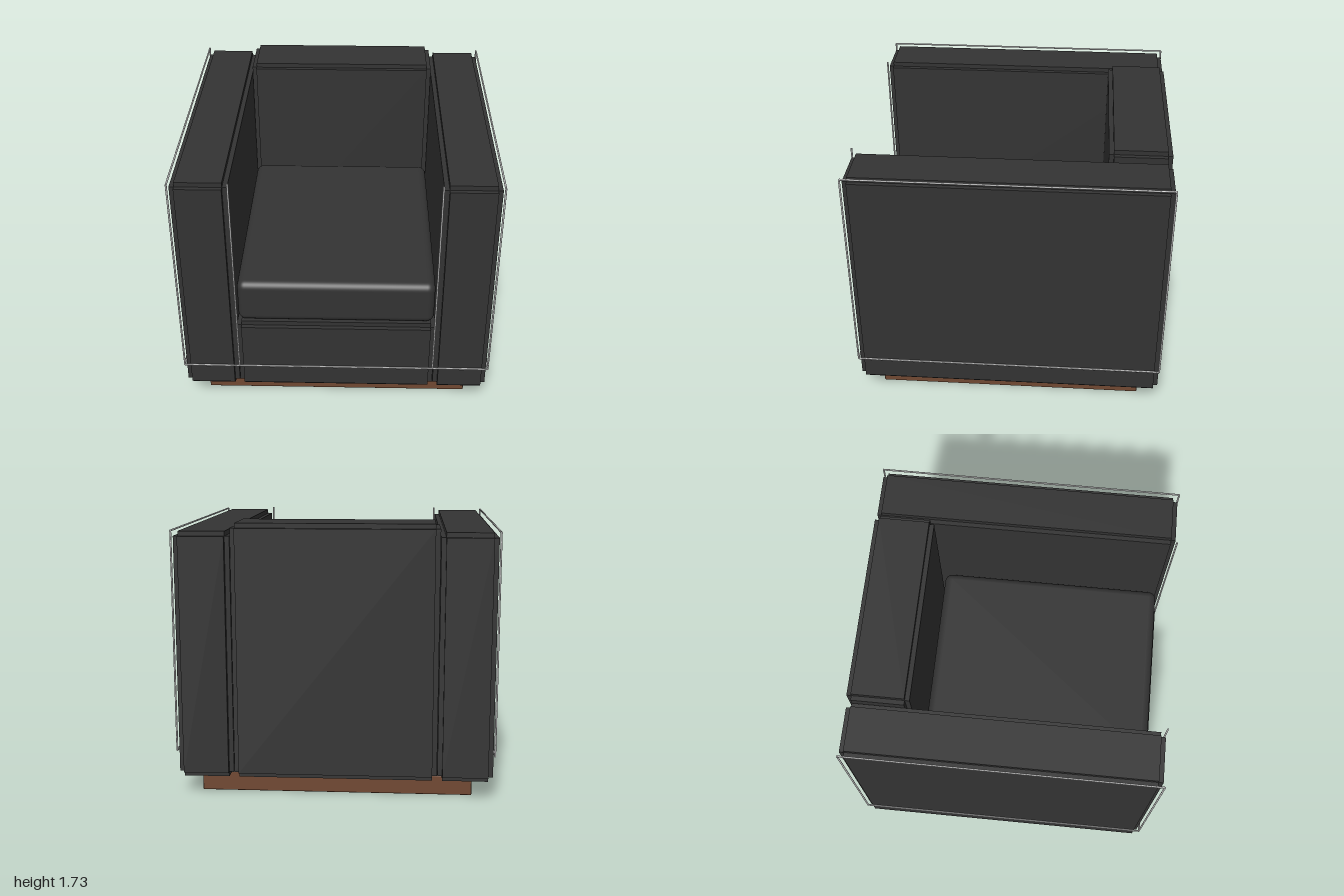
import * as THREE from 'three';
import { RoundedBoxGeometry } from 'three/addons/geometries/RoundedBoxGeometry.js';

const fabric = new THREE.MeshStandardMaterial({ color: 0x333333 });
const wood = new THREE.MeshStandardMaterial({ color: 0x704832 });
const trim = new THREE.MeshStandardMaterial({ color: 0xcccccc });

function addMesh(parent, name, geometry, material) {
  const mesh = new THREE.Mesh(geometry, material);
  mesh.name = name;
  parent.add(mesh);
  return mesh;
}

// Geometry filling the space between two corners, optionally with rounded edges
function boxBetween(min, max, radius = 0) {
  const s = max.map((v, i) => v - min[i]);
  const geometry = radius ? new RoundedBoxGeometry(...s, 5, radius) : new THREE.BoxGeometry(...s);
  return geometry.translate(...max.map((v, i) => (v + min[i]) / 2));
}

// Upholstered block with stepped edges: three slabs, each full-length along one axis
function steppedBlock(name, min, max, step = 0.03) {
  const group = new THREE.Group();
  group.name = name;
  for (let axis = 0; axis < 3; axis++) {
    const lo = min.map((v, i) => (i === axis ? v : v + step));
    const hi = max.map((v, i) => (i === axis ? v : v - step));
    addMesh(group, name + 'Slab', boxBetween(lo, hi), fabric);
  }
  return group;
}

// Thin straight trim rod between two points
function addRod(parent, name, a, b) {
  const start = new THREE.Vector3(...a), end = new THREE.Vector3(...b);
  const direction = end.clone().sub(start);
  const rod = addMesh(parent, name, new THREE.CylinderGeometry(0.006, 0.006, direction.length(), 8), trim);
  rod.position.copy(start).add(end).multiplyScalar(0.5);
  rod.quaternion.setFromUnitVectors(new THREE.Vector3(0, 1, 0), direction.normalize());
}

export function createModel() {
  const chair = new THREE.Group();
  chair.name = 'armchair';

  // Wooden plinth
  addMesh(chair, 'plinth', boxBetween([-0.86, 0, -0.865], [0.86, 0.126, 0.855], 0.006), wood);

  // Seat base, backrest and loose cushion
  chair.add(steppedBlock('seatBase', [-0.637, 0.125, -0.605], [0.637, 0.645, 0.98]));
  chair.add(steppedBlock('backrest', [-0.637, 0.125, -0.99], [0.637, 1.725, -0.6]));
  addMesh(chair, 'seatCushion', boxBetween([-0.627, 0.64, -0.575], [0.627, 0.937, 0.947], 0.05), fabric);

  // Arms with their trim
  const bottom = 0.3, top = 1.68, front = 0.985, back = -0.99;
  for (const [side, s] of [['left', 1], ['right', -1]]) {
    const arm = steppedBlock(side + 'Arm', [0.64, 0.125, -0.99], [0.985, 1.675, 0.98]);
    // Shift the mirrored arm across: the block is symmetric about its own centre
    if (s < 0) arm.position.x = -(0.64 + 0.985);
    chair.add(arm);

    const frame = new THREE.Group();
    frame.name = side + 'TrimFrame';
    const x = s * 0.992;
    const corners = [[x, bottom, front], [x, top, front], [x, top, back], [x, bottom, back]];
    corners.forEach((corner, i) => addRod(frame, side + 'TrimRod', corner, corners[(i + 1) % 4]));
    addRod(frame, side + 'InnerTrimRod', [s * 0.632, bottom, front], [s * 0.632, 1.69, front]);
    chair.add(frame);
  }

  // Trim across the front
  addRod(chair, 'frontTrimRod', [-0.992, bottom, front], [0.992, bottom, front]);
  return chair;
}
